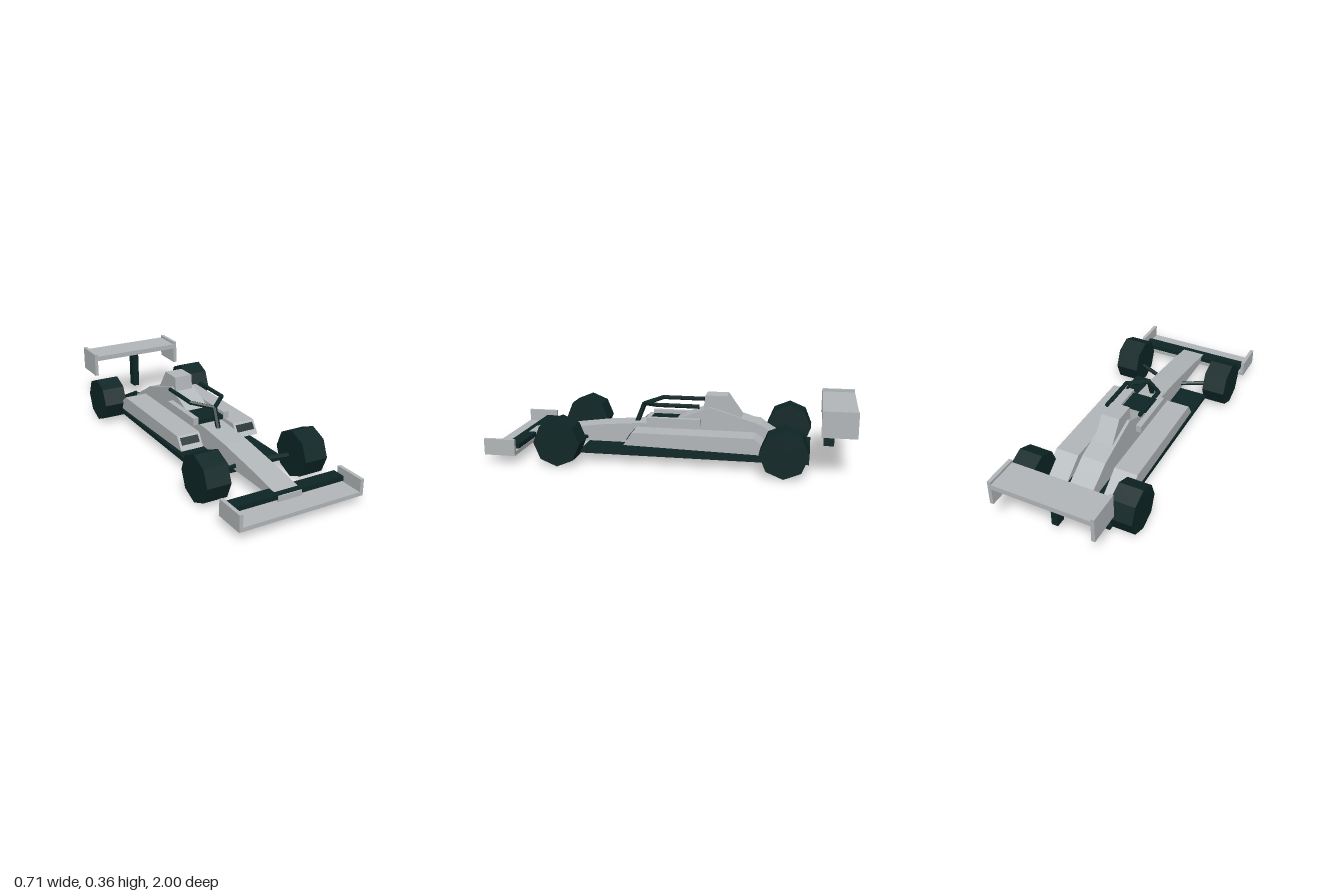
import * as THREE from 'three';

export function createModel() {
  const car = new THREE.Group();
  car.name = 'racingCar';
  const silver = new THREE.MeshStandardMaterial({ color: 0xb3b8ba, flatShading: true });
  silver.name = 'silver';
  const dark = new THREE.MeshStandardMaterial({ color: 0x0e2626, flatShading: true });
  dark.name = 'darkTeal';

  const add = (name, geometry, material) => {
    const mesh = new THREE.Mesh(geometry, material);
    mesh.name = name;
    car.add(mesh);
    return mesh;
  };
  // Box given by its limits on each axis
  const box = (name, material, [x0, x1], [y0, y1], [z0, z1]) =>
    add(name, new THREE.BoxGeometry(x1 - x0, y1 - y0, z1 - z0)
      .translate((x0 + x1) / 2, (y0 + y1) / 2, (z0 + z1) / 2), material);
  // Side profile of [z, y] points, extruded from x0 to x1
  const profile = (name, material, points, x0, x1) => {
    const shape = new THREE.Shape(points.map(([z, y]) => new THREE.Vector2(z, y)));
    const geometry = new THREE.ExtrudeGeometry(shape, { depth: x1 - x0, bevelEnabled: false });
    return add(name, geometry.rotateY(-Math.PI / 2).translate(x1, 0, 0), material);
  };
  // Straight bar between two points
  const bar = (name, from, to, radius) => {
    const a = new THREE.Vector3(...from), b = new THREE.Vector3(...to);
    const mesh = add(name, new THREE.CylinderGeometry(radius, radius, a.distanceTo(b), 6), dark);
    mesh.position.copy(a).add(b).multiplyScalar(0.5);
    mesh.quaternion.setFromUnitVectors(new THREE.Vector3(0, 1, 0), b.sub(a).normalize());
  };

  // Floor, central body and air intake
  box('floor', dark, [-0.235, 0.235], [0.048, 0.073], [-0.76, 0.485]);
  profile('body', silver, [
    [0.89, 0.07], [0.89, 0.1], [0.71, 0.13], [0.4, 0.172], [0.2, 0.188], [0.03, 0.192],
    [-0.06, 0.235], [-0.21, 0.295], [-0.49, 0.21], [-0.55, 0.172], [-0.68, 0.1], [-0.68, 0.07],
  ], -0.069, 0.069);
  profile('airIntake', silver, [
    [-0.17, 0.27], [-0.18, 0.36], [-0.3, 0.36], [-0.385, 0.24], [-0.2, 0.24],
  ], -0.053, 0.053);
  box('cockpit', dark, [-0.08, 0.08], [0.19, 0.214], [-0.13, 0.135]);

  // Front wing
  box('frontWing', silver, [-0.337, 0.337], [0.045, 0.067], [0.825, 1]);
  box('frontFlap', dark, [-0.328, 0.328], [0.08, 0.106], [0.81, 0.885]);
  // Rear wing
  box('rearWing', silver, [-0.27, 0.27], [0.311, 0.34], [-1, -0.815]);
  box('rearWingStrut', dark, [-0.018, 0.018], [0.095, 0.313], [-0.89, -0.832]);

  // Head guard centre strut
  bar('headGuardStrut', [0, 0.29, 0.175], [0, 0.165, 0.225], 0.014);

  for (const s of [1, -1]) {
    const span = (a, b) => (s > 0 ? [a, b] : [-b, -a]);

    box('frontEndplate', silver, span(0.337, 0.357), [0.045, 0.135], [0.825, 1]);
    box('rearEndplate', silver, span(0.27, 0.29), [0.216, 0.355], [-1, -0.815]);
    box('cockpitSide', silver, span(0.08, 0.112), [0.192, 0.233], [-0.16, 0.14]);

    // Side pod with its dark inlet on the sloping front
    const [p0, p1] = span(0.108, 0.242);
    profile('sidePod', silver,
      [[0.242, 0.107], [0.195, 0.178], [-0.465, 0.178], [-0.59, 0.087]], p0, p1);
    const [i0, i1] = span(0.122, 0.228);
    profile('sideInlet', dark,
      [[0.2255, 0.132], [0.2295, 0.134], [0.206, 0.169], [0.202, 0.167]], i0, i1);

    // Head guard side rails
    bar('headGuardRail', [s * 0.1, 0.306, -0.155], [s * 0.1, 0.306, 0.09], 0.012);
    bar('headGuardArm', [s * 0.1, 0.306, 0.085], [0, 0.288, 0.177], 0.012);

    // Wheels with their suspension arms
    for (const [end, z, inner] of [['front', 0.586, 0.5], ['rear', -0.632, -0.715]]) {
      const wheel = add(end + 'Wheel',
        new THREE.CylinderGeometry(0.129, 0.129, 0.135, 8).rotateZ(Math.PI / 2), dark);
      wheel.position.set(s * 0.2895, 0.129, z);
      bar(end + 'Suspension', [s * 0.06, 0.094, inner], [s * 0.24, 0.114, z - Math.sign(z) * 0.02], 0.012);
    }
  }
  return car;
}
